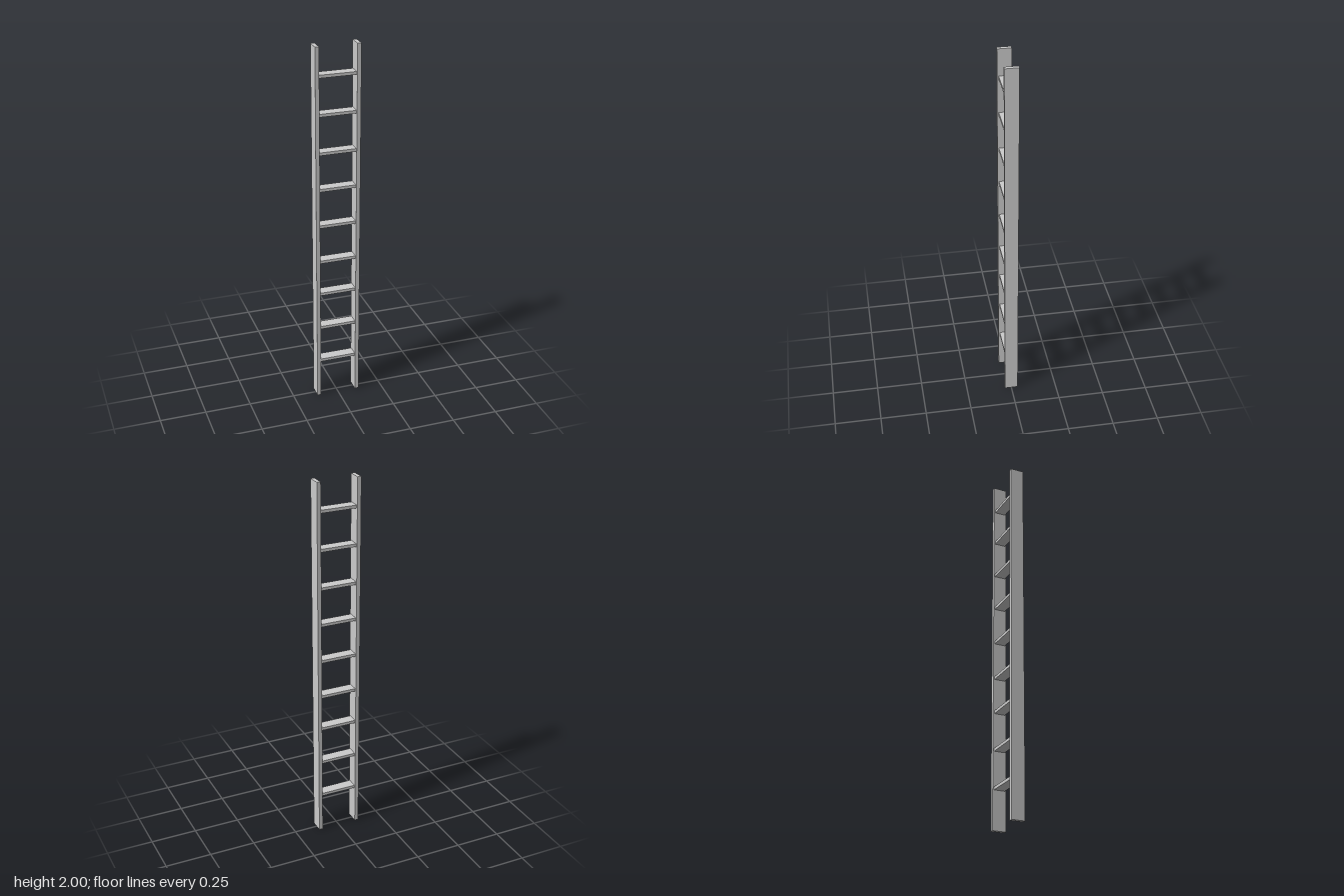
import * as THREE from 'three';

export function createModel() {
  const ladder = new THREE.Group();
  ladder.name = 'ladder';
  const material = new THREE.MeshStandardMaterial({ color: 0xcccccc, flatShading: true });

  const addBox = (name, w, h, d, x, y) => {
    const mesh = new THREE.Mesh(new THREE.BoxGeometry(w, h, d), material);
    mesh.name = name;
    mesh.position.set(x, y, 0);
    ladder.add(mesh);
  };

  // Two upright side rails
  addBox('leftRail', 0.021, 2, 0.073, 0.11, 1);
  addBox('rightRail', 0.021, 2, 0.073, -0.11, 1);

  // Flat treads between the rails, hand-spaced
  const heights = [0.219, 0.425, 0.631, 0.824, 1.03, 1.236, 1.437, 1.643, 1.846];
  heights.forEach((y, i) => addBox(`rung${i + 1}`, 0.199, 0.016, 0.059, 0, y));

  return ladder;
}
